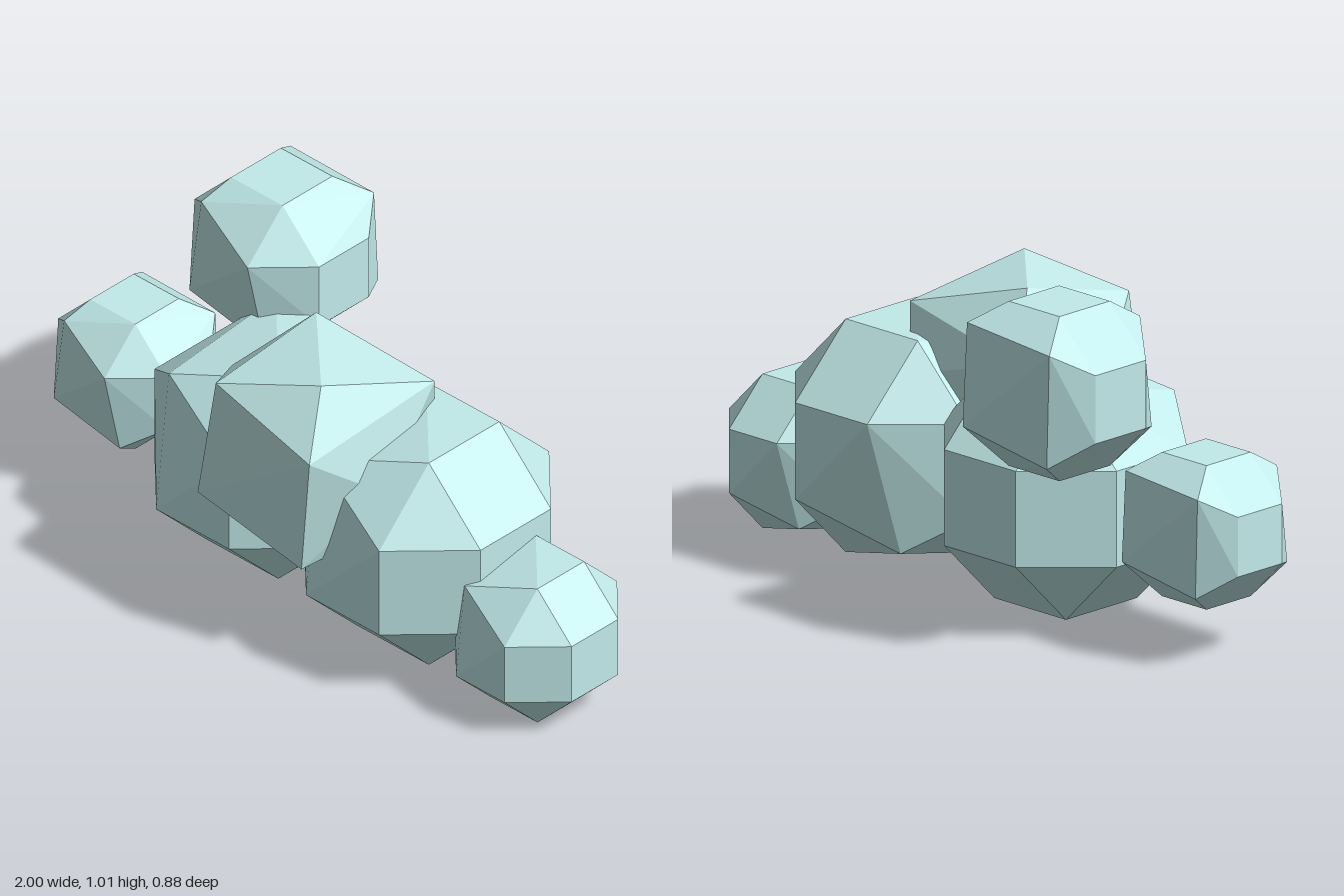
import * as THREE from 'three';
import { ConvexGeometry } from 'three/addons/geometries/ConvexGeometry.js';

const K = Math.SQRT2 - 1;

const material = new THREE.MeshStandardMaterial({ color: 0xc2eaea, flatShading: true });

// Faceted ball with 24 corners. Each entry of `pushedCorners` replaces the
// front or back vertex of its octant; `keepTop` keeps the upper or lower one.
function puffGeometry(pushedCorners, keepTop) {
  const points = [];
  for (const sx of [-1, 1]) for (const sy of [-1, 1]) for (const sz of [-1, 1]) {
    const pushed = pushedCorners.find(c => c[0] * sx > 0 && c[1] * sy > 0 && c[2] * sz > 0);
    points.push(new THREE.Vector3(sx, sy * K, sz * K));
    if (!pushed || keepTop) points.push(new THREE.Vector3(sx * K, sy, sz * K));
    points.push(pushed ? new THREE.Vector3(...pushed) : new THREE.Vector3(sx * K, sy * K, sz));
  }
  return new ConvexGeometry(points);
}

// Regular puffs: one or two softened corners on the -x side
const frontCorner = [-0.53, 0.75, 0.73];
const oneCornerPuff = puffGeometry([frontCorner], false);
const twoCornerPuff = puffGeometry([frontCorner, [-0.53, -0.73, -0.73]], false);

// Chunkier puff: wide front and back facets
const chunkyPuff = puffGeometry([
  [-0.55, 0.77, 0.77], [-0.72, -0.54, 0.79], [0.5, -0.76, 0.8],
  [0.74, 0.75, -0.77], [0.74, -0.5, -0.84], [-0.69, 0.68, -0.86], [-0.57, -0.74, -0.78],
], true);

// Tilted blocky puff at the front of the cloud
const frontPuff = new ConvexGeometry([
  [-0.11, 0.81, 0.41], [0.28, 0.735, 0.44], [0.23, 0.35, 0.42], [-0.17, 0.42, 0.42],
  [-0.07, 0.89, 0.05], [0.19, 0.89, 0.30], [0.30, 0.79, -0.04], [-0.25, 0.70, 0.20],
  [-0.16, 0.72, -0.09], [0.34, 0.55, 0.20], [0.30, 0.40, 0.20], [-0.045, 0.27, 0.24],
  [0.07, 0.28, 0.12], [-0.24, 0.58, 0.10], [0.05, 0.40, -0.08], [0.25, 0.60, -0.09],
].map(p => new THREE.Vector3(...p)));

export function createModel() {
  const cloud = new THREE.Group();
  cloud.name = 'cloud';

  const add = (name, geometry, position = [0, 0, 0], scale = 1) => {
    const mesh = new THREE.Mesh(geometry, material);
    mesh.name = name;
    mesh.position.set(...position);
    mesh.scale.setScalar(scale);
    cloud.add(mesh);
  };

  // Main body
  add('largeLeftPuff', twoCornerPuff, [0.345, 0.37, 0.035], 0.34);
  add('largeRightPuff', oneCornerPuff, [-0.245, 0.37, 0.025], 0.338);
  add('frontPuff', frontPuff);

  // Small outer puffs
  add('smallLeftPuff', twoCornerPuff, [0.775, 0.225, 0.045], 0.225);
  add('smallRightPuff', chunkyPuff, [-0.79, 0.37, 0.03], 0.21);
  add('upperRightPuff', chunkyPuff, [-0.478, 0.77, -0.235], 0.24);

  return cloud;
}
